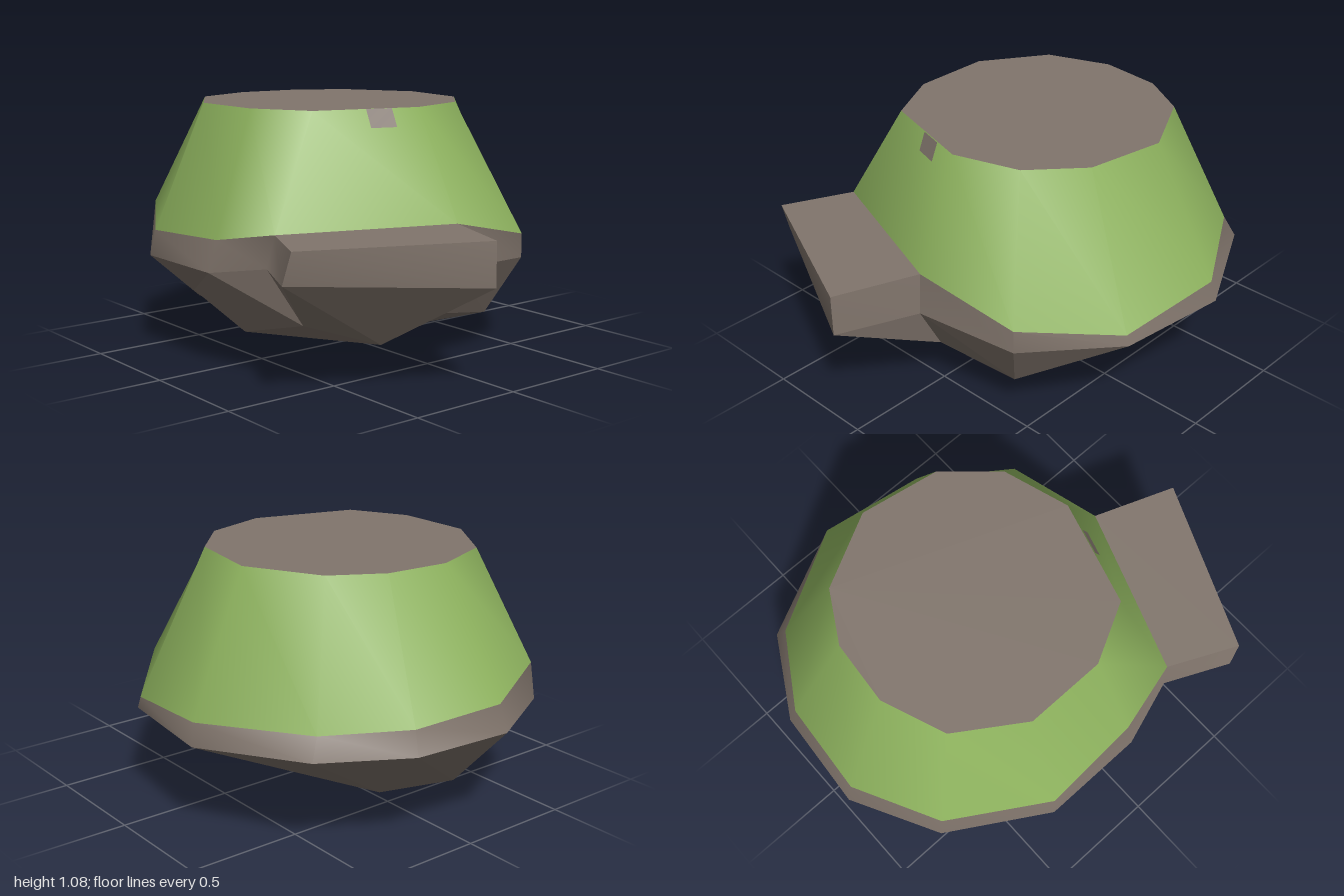
import * as THREE from 'three';
import { toCreasedNormals } from 'three/addons/utils/BufferGeometryUtils.js';

// Rings run back -> right -> front -> left
const top = [[-0.23, -0.55], [0.12, -0.49], [0.33, -0.3], [0.42, -0.01], [0.29, 0.44], [0.04, 0.57],
  [-0.31, 0.57], [-0.59, 0.385], [-0.695, 0.11], [-0.67, -0.17], [-0.545, -0.385]].map(([x, z]) => [x, 1.075, z]);

// Upper edge of the rock rim; entries 3 to 6 outline the ledge
const rim = [[-0.28, 0.5, -0.83], [0.21, 0.45, -0.775], [0.565, 0.51, -0.485], [0.64, 0.615, -0.03],
  [1, 0.615, 0.105], [0.68, 0.615, 0.835], [0.38, 0.615, 0.695], [0.08, 0.56, 0.77], [-0.365, 0.54, 0.79],
  [-0.78, 0.59, 0.545], [-0.965, 0.545, 0.17], [-0.93, 0.53, -0.25], [-0.73, 0.52, -0.57]];

// Widest edge of the rock
const waist = [[-0.295, 0.405, -0.85], [0.21, 0.405, -0.79], [0.565, 0.405, -0.485], [0.655, 0.43, -0.035],
  [1, 0.43, 0.105], [0.64, 0.48, 0.85], [0.36, 0.48, 0.72], [0.08, 0.43, 0.81], [-0.38, 0.43, 0.81],
  [-0.8, 0.43, 0.555], [-1, 0.43, 0.18], [-0.965, 0.43, -0.265], [-0.76, 0.43, -0.615]];

// Knobbly ring underneath, with the lowest point and one inner point
const low = [[0.45, 0.155, -0.38], [0.54, 0.22, -0.03], [0.635, 0.175, 0.37], [0.5, 0.27, 0.65],
  [0.07, 0.155, 0.63], [-0.29, 0.27, 0.65], [-0.6, 0.155, 0.43], [-0.76, 0.155, 0.13], [-0.66, 0.155, -0.19]];
const tip = [-0.06, 0, 0];
const inner = [0.25, 0.155, 0.13];

function meshGeometry(points, index) {
  const g = new THREE.BufferGeometry();
  g.setAttribute('position', new THREE.Float32BufferAttribute(points.flat(), 3));
  g.setIndex(index);
  g.computeVertexNormals();
  return g;
}

// Closed band of quads between two rings of equal count
function band(upper, lower) {
  const n = upper.length, index = [];
  for (let i = 0; i < n; i++) {
    const j = (i + 1) % n;
    index.push(i, j, n + i, j, n + j, n + i);
  }
  return meshGeometry([...upper, ...lower], index);
}

// Flat polygon as a fan
function polygon(points) {
  const index = [];
  for (let i = 1; i < points.length - 1; i++) index.push(0, i, i + 1);
  return meshGeometry(points, index);
}

function underside() {
  const n = waist.length, m = low.length, T = n + m, Q = T + 1;
  const index = [];
  const L = (i) => n + (i % m);
  // Zip the two rings: o steps along the waist, l along the low ring
  let a = 2, p = 0;
  for (const step of 'olololoollololoolooloo') {
    if (step === 'o') {
      index.push(a, (a + 1) % n, L(p));
      a = (a + 1) % n;
    } else {
      index.push(a, L(p + 1), L(p));
      p++;
    }
  }
  // Close the bottom around the inner point and the tip
  for (const [i, j] of [[0, 1], [1, 2], [2, 4], [4, 5]]) index.push(L(i), L(j), Q);
  index.push(L(2), L(3), L(4), L(0), Q, T, Q, L(5), T);
  for (let i = 5; i < m; i++) index.push(L(i), L(i + 1), T);
  return meshGeometry([...waist, ...low, tip, inner], index);
}

export function createModel() {
  const rock = new THREE.MeshStandardMaterial({ color: 0x81756c });
  rock.name = 'rock brown';
  const grass = new THREE.MeshStandardMaterial({ color: 0x8fb45f });
  grass.name = 'grass green';

  const model = new THREE.Group();
  model.name = 'rockIsland';
  const add = (name, geometry, material) => {
    const mesh = new THREE.Mesh(geometry, material);
    mesh.name = name;
    model.add(mesh);
  };

  // Sloping grass sides skip the two outer ledge corners
  const grassEdge = rim.filter((_, i) => i !== 4 && i !== 5);
  add('grassSlope', band(top, grassEdge), grass);
  add('plateau', polygon([...top].reverse()), rock);

  // Rock rim, ledge and faceted underside
  add('rockRim', toCreasedNormals(band(rim, waist), 0.7), rock);
  add('ledgeTop', polygon([rim[3], rim[6], rim[5], rim[4]]), rock);
  add('rockUnderside', toCreasedNormals(underside(), 0.01), rock);

  // Small bare patch at the top of the slope above the ledge
  add('barePatch', polygon([[0.39, 1.075, 0.11], [0.358, 1.075, 0.22], [0.391, 1, 0.22], [0.424, 1, 0.11]]), rock);
  return model;
}
